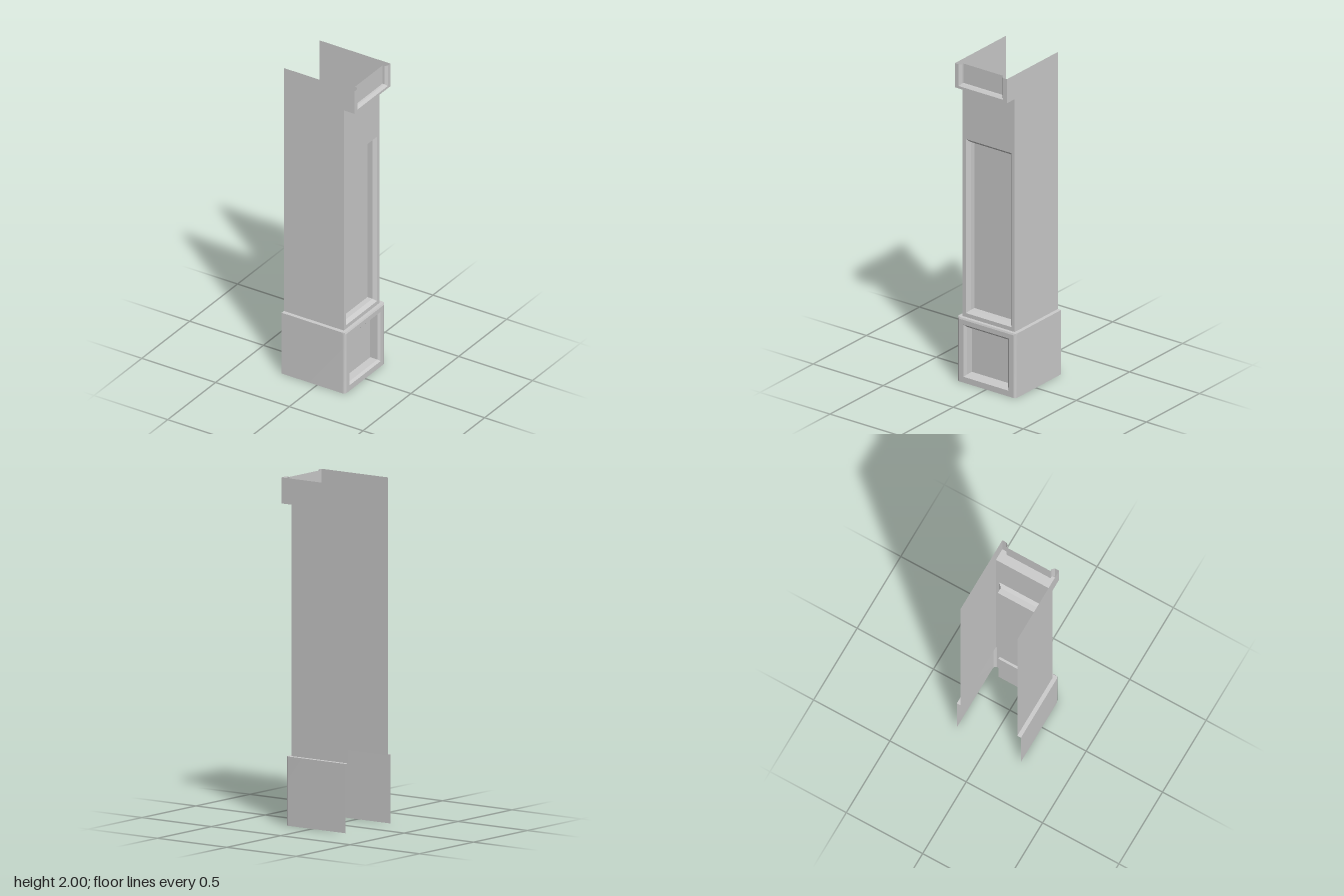
import * as THREE from 'three';
import { mergeVertices } from 'three/addons/utils/BufferGeometryUtils.js';

const mat = new THREE.MeshStandardMaterial({ color: 0xcccccc, side: THREE.DoubleSide });

const BACK = -0.24, HALF = 0.186;          // open back edge, half width of the shaft
const SHAFT_X = 0.166, CAP_X = 0.24, BASE_X = 0.19;
const BASE_HALF = 0.21, BASE_TOP = 0.4, CAP_BOTTOM = 1.85, TOP = 2;

function add(parent, name, geometry) {
  const mesh = new THREE.Mesh(geometry, mat);
  mesh.name = name;
  parent.add(mesh);
  return mesh;
}

// Skin between successive point rings; each ring is a list of [x, y, z]
function loft(rings, closed, smooth) {
  const pos = [];
  for (let r = 0; r < rings.length - 1; r++) {
    const a = rings[r], b = rings[r + 1];
    const n = closed ? a.length : a.length - 1;
    for (let i = 0; i < n; i++) {
      const j = (i + 1) % a.length;
      pos.push(...a[i], ...a[j], ...b[j], ...a[i], ...b[j], ...b[i]);
    }
  }
  let g = new THREE.BufferGeometry();
  g.setAttribute('position', new THREE.Float32BufferAttribute(pos, 3));
  if (smooth) g = mergeVertices(g);
  g.computeVertexNormals();
  return g;
}

const shapeOf = (pts) => new THREE.Shape(pts.map(([x, y]) => new THREE.Vector2(x, y)));
const rect = (w, y0, y1) => [[-w, y0], [w, y0], [w, y1], [-w, y1]];

// Flat face looking along +x, drawn in (width, height), with an optional hole
function frontFace(x, outline, hole) {
  const s = shapeOf(outline);
  if (hole) s.holes.push(shapeOf(hole));
  return new THREE.ShapeGeometry(s).rotateY(Math.PI / 2).translate(x, 0, 0);
}

// Bevelled moulding, straight reveal and back panel sunk into a front face
function recess(parent, name, { x, bevelX, backX, w, y0, y1, iw, iy0, iy1, openTop }) {
  const ring = (rx, hw, lo, hi) =>
    [[rx, hi, hw], [rx, lo, hw], [rx, lo, -hw], [rx, hi, -hw]];
  const rings = [ring(x, w, y0, y1), ring(bevelX, iw, iy0, iy1), ring(backX, iw, iy0, iy1)];
  add(parent, name + 'Moulding', loft(rings, !openTop));
  add(parent, name + 'Panel', frontFace(backX, rect(iw, iy0, iy1)));
}

export function createModel() {
  const model = new THREE.Group();
  model.name = 'pilaster';

  // Shaft: flat sides that include the cap's projection
  const shaft = new THREE.Group();
  shaft.name = 'shaft';
  model.add(shaft);
  const side = shapeOf([[BACK, BASE_TOP], [SHAFT_X, BASE_TOP], [SHAFT_X, CAP_BOTTOM],
    [CAP_X, CAP_BOTTOM], [CAP_X, TOP], [BACK, TOP]]);
  add(shaft, 'leftSide', new THREE.ShapeGeometry(side).translate(0, 0, HALF));
  add(shaft, 'rightSide',
    new THREE.ShapeGeometry(side).rotateX(Math.PI).translate(0, 0, -HALF)).geometry.scale(1, -1, 1);

  // Shaft front with its tall sunken panel
  const tall = { x: SHAFT_X, bevelX: 0.146, backX: 0.112,
    w: 0.163, y0: 0.424, y1: 1.507, iw: 0.143, iy0: 0.442, iy1: 1.488 };
  add(shaft, 'shaftFront', frontFace(SHAFT_X, rect(HALF, BASE_TOP, CAP_BOTTOM),
    rect(tall.w, tall.y0, tall.y1)));
  recess(shaft, 'shaft', tall);

  // Cap: underside, front frame open at the top, and shallow panel
  const cap = new THREE.Group();
  cap.name = 'cap';
  model.add(cap);
  const capPanel = { x: CAP_X, bevelX: 0.227, backX: 0.214,
    w: 0.159, y0: 1.865, y1: TOP, iw: 0.144, iy0: 1.88, iy1: TOP, openTop: true };
  add(cap, 'capUnderside', new THREE.PlaneGeometry(CAP_X - SHAFT_X, 2 * HALF)
    .rotateX(Math.PI / 2).translate((CAP_X + SHAFT_X) / 2, CAP_BOTTOM, 0));
  add(cap, 'capFront', frontFace(CAP_X, [[-HALF, CAP_BOTTOM], [HALF, CAP_BOTTOM], [HALF, TOP],
    [capPanel.w, TOP], [capPanel.w, capPanel.y0], [-capPanel.w, capPanel.y0],
    [-capPanel.w, TOP], [-HALF, TOP]]));
  recess(cap, 'cap', capPanel);

  // Base: side walls with softened front corners
  const base = new THREE.Group();
  base.name = 'base';
  model.add(base);
  const lip = 0.39, lipX = 0.186, cornerZ = 0.194;
  const half = [[BACK, BASE_HALF], [0.172, BASE_HALF], [0.185, 0.205], [BASE_X, cornerZ]];
  const ringAt = (pts, y, s) => pts.map(([x, z]) => [x, y, z * s]);
  for (const s of [1, -1]) {
    const pts = s > 0 ? half : [...half].reverse();
    add(base, s > 0 ? 'baseLeftSide' : 'baseRightSide',
      loft([ringAt(pts, 0, s), ringAt(pts, lip, s)], false, true));
  }

  // Narrow eased edge and the flat ledge around the shaft
  const path = [...half, ...[...half].reverse().map(([x, z]) => [x, -z])];
  const topPath = path.map(([x, z]) => [Math.min(x, lipX), z]);
  add(base, 'baseEasedEdge', loft([ringAt(path, lip, 1), ringAt(topPath, BASE_TOP, 1)], false));
  const ledge = shapeOf([...topPath.map(([x, z]) => [x, -z]),
    [BACK, HALF], [SHAFT_X, HALF], [SHAFT_X, -HALF], [BACK, -HALF]]);
  add(base, 'baseLedge', new THREE.ShapeGeometry(ledge)
    .rotateX(-Math.PI / 2).translate(0, BASE_TOP, 0));

  // Base front with its sunken panel
  const low = { x: BASE_X, bevelX: 0.177, backX: 0.128,
    w: 0.162, y0: 0.036, y1: 0.361, iw: 0.148, iy0: 0.049, iy1: 0.347 };
  add(base, 'baseFront', frontFace(BASE_X, rect(cornerZ, 0, lip), rect(low.w, low.y0, low.y1)));
  recess(base, 'base', low);

  return model;
}
